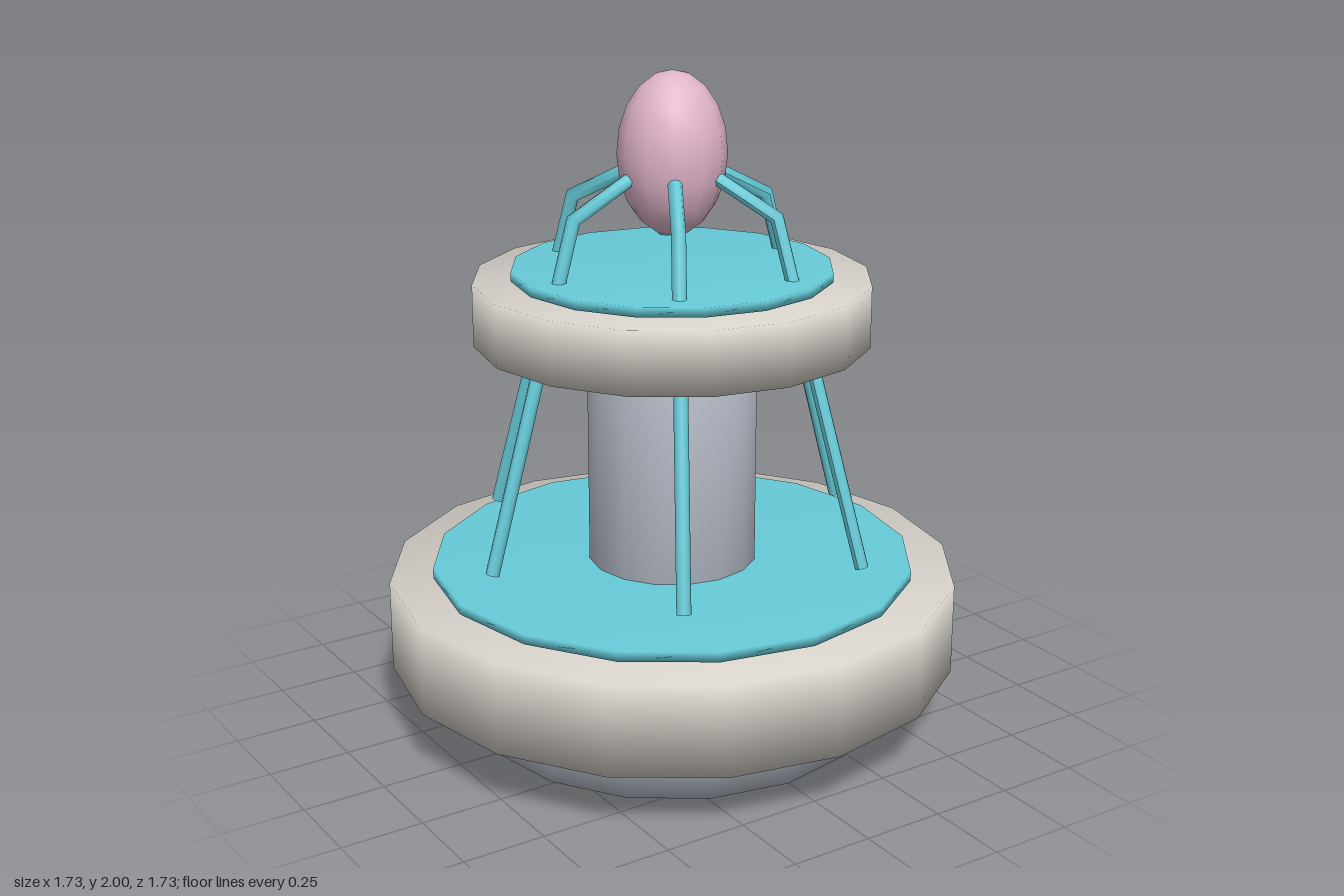
import * as THREE from 'three';
import { mergeVertices } from 'three/addons/utils/BufferGeometryUtils.js';

const material = (color) => new THREE.MeshStandardMaterial({ color });
const stone = material(0xd6d1c9);
const metal = material(0xb4bac6);
const water = material(0x66cbd8);
const pink = material(0xdfb4c9);

// Shares normals across every edge for a soft, blended shading.
function soften(geometry) {
  geometry.deleteAttribute('normal');
  geometry.deleteAttribute('uv');
  const merged = mergeVertices(geometry, 1e-4);
  merged.computeVertexNormals();
  return merged;
}

// Upright 16-sided drum between two heights.
function drum(name, radius, bottom, top, mat) {
  const geometry = new THREE.CylinderGeometry(radius, radius, top - bottom, 16);
  const mesh = new THREE.Mesh(soften(geometry), mat);
  mesh.position.y = (bottom + top) / 2;
  mesh.name = name;
  return mesh;
}

// Bent jet: a three-ring cylinder laid along a path with a mitred elbow.
function jetGeometry(radius) {
  const path = [[0.15, 1.695], [0.335, 1.6], [0.625, 0.58]].map(([x, y]) => new THREE.Vector2(x, y));
  const across = (a, b) => {
    const t = a.clone().sub(b).normalize();
    return new THREE.Vector2(t.y, -t.x);
  };
  const first = across(path[0], path[1]);
  const last = across(path[1], path[2]);
  const mitre = first.clone().add(last).normalize();
  mitre.divideScalar(mitre.dot(first));
  const sides = [first, mitre, last];

  const geometry = new THREE.CylinderGeometry(radius, radius, 1, 8, 2);
  const p = geometry.attributes.position;
  for (let i = 0; i < p.count; i++) {
    const ring = Math.round((0.5 - p.getY(i)) * 2);
    const x = p.getX(i);
    p.setXY(i, path[ring].x + x * sides[ring].x, path[ring].y + x * sides[ring].y);
  }
  geometry.computeVertexNormals();
  return geometry;
}

export function createModel() {
  const fountain = new THREE.Group();
  fountain.name = 'fountain';

  // Stacked tiers
  fountain.add(
    drum('base', 0.625, 0, 0.2, metal),
    drum('lowerBasin', 0.867, 0.195, 0.475, stone),
    drum('lowerWater', 0.735, 0.482, 0.512, water),
    drum('column', 0.257, 0.47, 1.21, metal),
    drum('upperBasin', 0.592, 1.205, 1.392, stone),
    drum('upperWater', 0.478, 1.397, 1.425, water),
  );

  // Egg-shaped finial
  const finial = new THREE.Mesh(new THREE.SphereGeometry(1, 12, 10), pink);
  finial.name = 'finial';
  finial.scale.set(0.162, 0.242, 0.162);
  finial.position.y = 1.758;
  fountain.add(finial);

  // Six water jets around the finial
  const jets = new THREE.Group();
  jets.name = 'waterJets';
  const geometry = jetGeometry(0.021);
  for (let i = 0; i < 6; i++) {
    const jet = new THREE.Mesh(geometry, water);
    jet.name = `waterJet${i + 1}`;
    jet.rotation.y = (i * Math.PI) / 3;
    jets.add(jet);
  }
  fountain.add(jets);

  return fountain;
}
